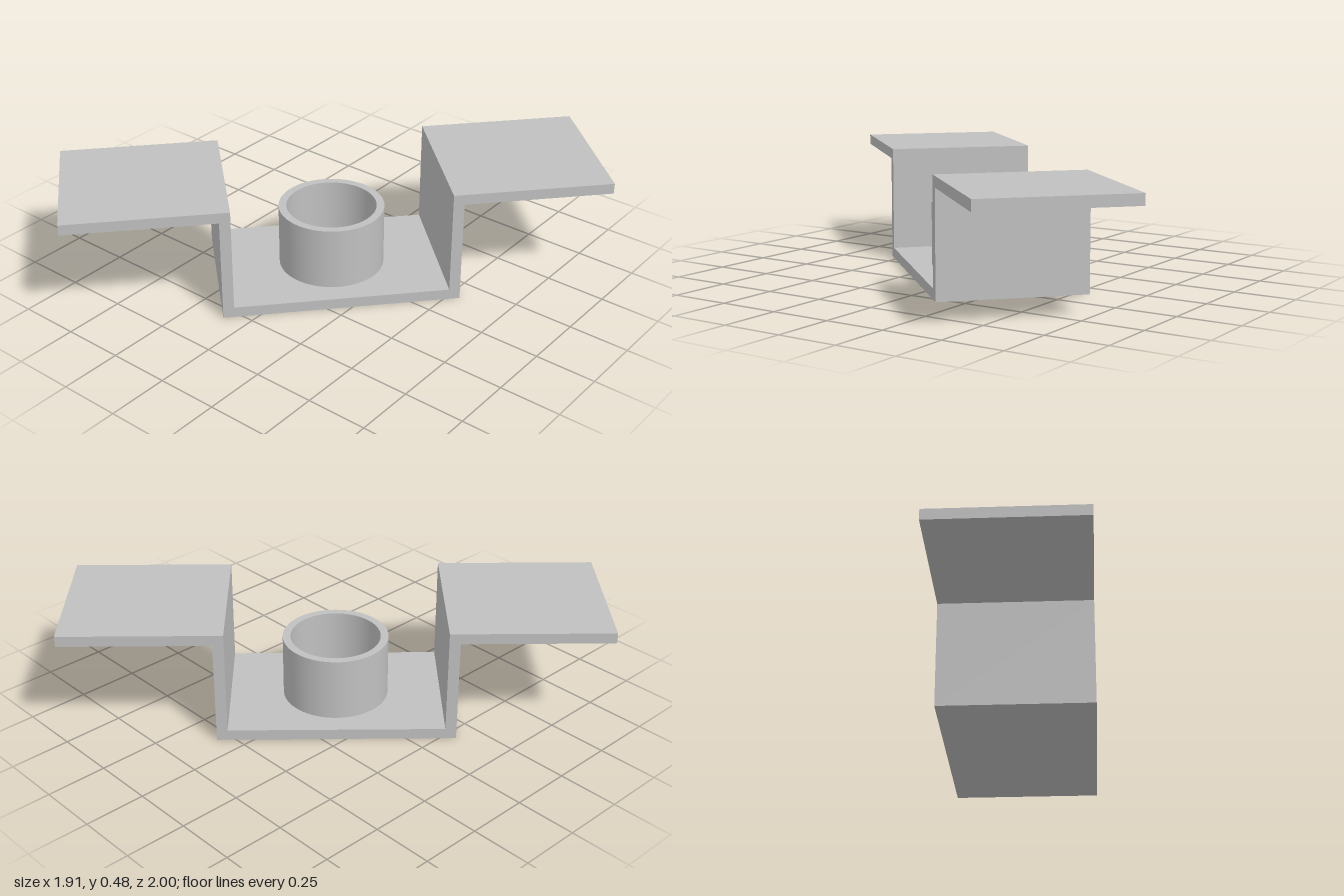
import * as THREE from 'three';

const HALF_LENGTH = 1.08, WIDTH = 0.605, HEIGHT = 0.478, T = 0.044;
const WALL = 0.478; // outer half-length of the channel

export function createModel() {
  const model = new THREE.Group();
  model.name = 'bracket';
  const grey = new THREE.MeshStandardMaterial({ color: 0xc0c0c0 });
  grey.name = 'grey metal';

  // Bent strip: hat-shaped section extruded across its width
  const right = [
    [WALL, 0], [WALL, HEIGHT - T], [HALF_LENGTH, HEIGHT - T],
    [HALF_LENGTH, HEIGHT], [WALL - T, HEIGHT], [WALL - T, T],
  ];
  const left = right.map(([x, y]) => [-x, y]).reverse();
  const section = new THREE.Shape([...right, ...left].map(([x, y]) => new THREE.Vector2(x, y)));
  const stripGeometry = new THREE.ExtrudeGeometry(section, { depth: WIDTH, bevelEnabled: false });
  stripGeometry.translate(0, 0, -WIDTH / 2);
  const strip = new THREE.Mesh(stripGeometry, grey);
  strip.name = 'bentStrip';
  model.add(strip);

  // Collar: open tube standing on the channel floor
  const R = 0.216, r = 0.184, top = 0.305;
  const addPart = (name, geometry, y) => {
    const mesh = new THREE.Mesh(geometry, grey);
    mesh.name = name;
    mesh.position.y = y;
    model.add(mesh);
  };
  const h = top - T;
  addPart('collarOuterWall', new THREE.CylinderGeometry(R, R, h, 64, 1, true), T + h / 2);
  const bore = new THREE.CylinderGeometry(r, r, h, 64, 1, true);
  bore.scale(-1, 1, 1); // turn the bore to face inwards
  const index = bore.getIndex();
  const normal = bore.getAttribute('normal');
  for (let i = 0; i < normal.count; i++) {
    normal.setXYZ(i, -normal.getX(i), 0, -normal.getZ(i));
  }
  index.needsUpdate = true;
  addPart('collarBore', bore, T + h / 2);
  addPart('collarRim', new THREE.RingGeometry(r, R, 64).rotateX(-Math.PI / 2), top);

  // The strip lies diagonally
  strip.parent.rotation.y = 0.827;
  const root = new THREE.Group();
  root.name = 'mountingBracket';
  root.add(model);
  return root;
}
